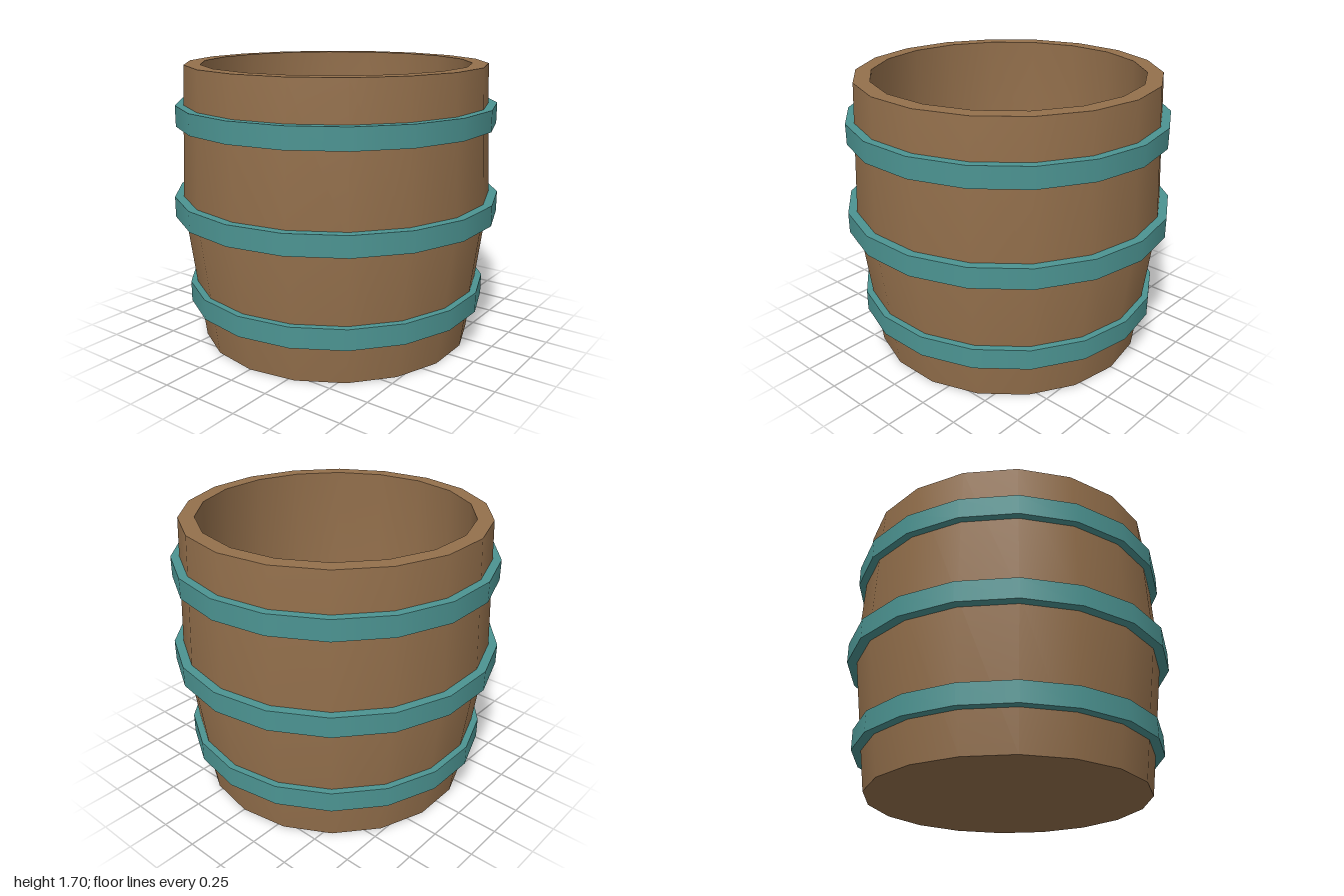
import * as THREE from 'three';
import { mergeGeometries } from 'three/addons/utils/BufferGeometryUtils.js';

const SIDES = 18;

// Revolve each strip on its own, so edges between strips stay sharp
function revolve(strips) {
  return mergeGeometries(strips.map((strip) => new THREE.LatheGeometry(
    strip.map(([r, y]) => new THREE.Vector2(r, y)), SIDES, Math.PI / 2)));
}

export function createModel() {
  const wood = new THREE.MeshStandardMaterial({ color: 0x94704c });
  const teal = new THREE.MeshStandardMaterial({ color: 0x4c9492 });
  const dark = new THREE.MeshStandardMaterial({ color: 0x242424 });
  wood.name = 'wood';
  teal.name = 'tealHoop';
  dark.name = 'darkInterior';

  const barrel = new THREE.Group();
  barrel.name = 'barrel';
  const add = (name, geometry, material) => {
    const mesh = new THREE.Mesh(geometry, material);
    mesh.name = name;
    barrel.add(mesh);
    return mesh;
  };

  // Bulging open shell: base, outer wall, rim, inner wall
  const floorY = 0.28;
  add('shell', revolve([
    [[0, 0], [0.845, 0]],
    [[0.845, 0], [0.95, 0.85], [0.91, 1.695]],
    [[0.91, 1.695], [0.815, 1.695]],
    [[0.815, 1.695], [0.848, 0.85], [0.783, floorY]],
  ]), wood);

  // Dark floor inside
  add('innerFloor', revolve([[[0.783, floorY], [0, floorY]]]), dark);

  // Three hoops, each a square-edged ring sunk into the wall
  const hoops = [['lowerHoop', 0.93, 0.3], ['middleHoop', 1.0, 0.85], ['upperHoop', 0.972, 1.4]];
  for (const [name, outer, y] of hoops) {
    const inner = outer - 0.07, h = 0.062;
    add(name, revolve([
      [[inner, -h], [outer, -h]],
      [[outer, -h], [outer, h]],
      [[outer, h], [inner, h]],
    ]), teal).position.y = y;
  }
  return barrel;
}
